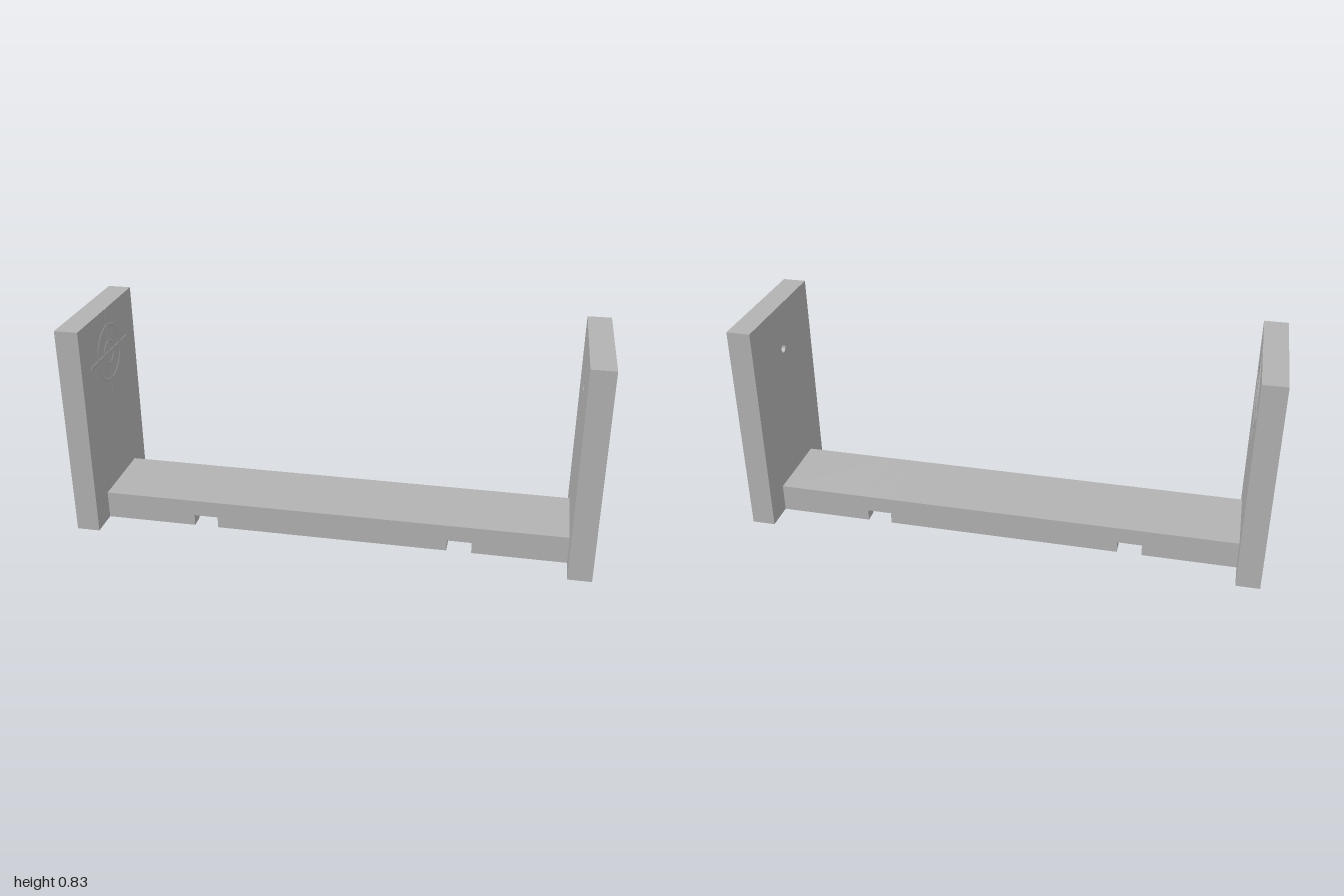
import * as THREE from 'three';

const HALF = 1, INNER = 0.91;          // plate outer and inner faces in x
const HEIGHT = 0.835, SIGHT_Y = 0.657; // plate height, sight centre

export function createModel() {
  const group = new THREE.Group();
  const grey = new THREE.MeshStandardMaterial({ color: 0xb3b3b3 });
  grey.name = 'grey';

  const add = (name, geometry, x = 0, y = 0, z = 0) => {
    const mesh = new THREE.Mesh(geometry, grey);
    mesh.name = name;
    mesh.position.set(x, y, z);
    group.add(mesh);
    return mesh;
  };

  // Rectangular section with a shallow arch cut into its underside
  const archedSection = (halfWidth, height) => {
    const half = 0.1, rise = 0.033;
    const r = (half * half + rise * rise) / (2 * rise);
    const a = Math.asin(half / r);
    const s = new THREE.Shape();
    s.moveTo(-halfWidth, 0);
    s.lineTo(-half, 0);
    s.absarc(0, rise - r, r, Math.PI / 2 + a, Math.PI / 2 - a, true);
    s.lineTo(halfWidth, 0);
    s.lineTo(halfWidth, height);
    s.lineTo(-halfWidth, height);
    s.closePath();
    return s;
  };
  const extrudeX = (shape, x0, x1) =>
    new THREE.ExtrudeGeometry(shape, { depth: x1 - x0, bevelEnabled: false, curveSegments: 32 })
      .rotateY(Math.PI / 2).translate(x0, 0, 0);

  // End plates, the left one with a peep hole
  add('rightEndPlate', extrudeX(archedSection(0.265, HEIGHT), -HALF, -INNER));
  const holed = archedSection(0.265, HEIGHT);
  const hole = new THREE.Path();
  hole.absarc(0, SIGHT_Y, 0.0175, 0, Math.PI * 2, true);
  holed.holes.push(hole);
  add('leftEndPlate', extrudeX(holed, INNER, HALF));

  // Base bar: three arched lengths joined over two cross slots
  for (const [x0, x1] of [[-INNER, -0.55], [-0.455, 0.455], [0.55, INNER]])
    add('baseBar', extrudeX(archedSection(0.152, 0.11), x0, x1));
  for (const x of [-0.5025, 0.5025])
    add('slotBridge', new THREE.BoxGeometry(0.095, 0.065, 0.304), x, 0.0775, 0);

  // Crosshair target set into the inner face of the right plate
  const rod = 0.01, targetX = -INNER - 0.007;
  const bar = () => new THREE.CylinderGeometry(rod, rod, 0.355, 16);
  add('crosshairUpright', bar(), targetX, SIGHT_Y, 0);
  add('crosshairLevel', bar().rotateX(Math.PI / 2), targetX, SIGHT_Y, 0);
  for (const r of [0.11, 0.045])
    add('targetRing', new THREE.TorusGeometry(r, rod, 12, 48).rotateY(Math.PI / 2), targetX, SIGHT_Y, 0);

  return group;
}
